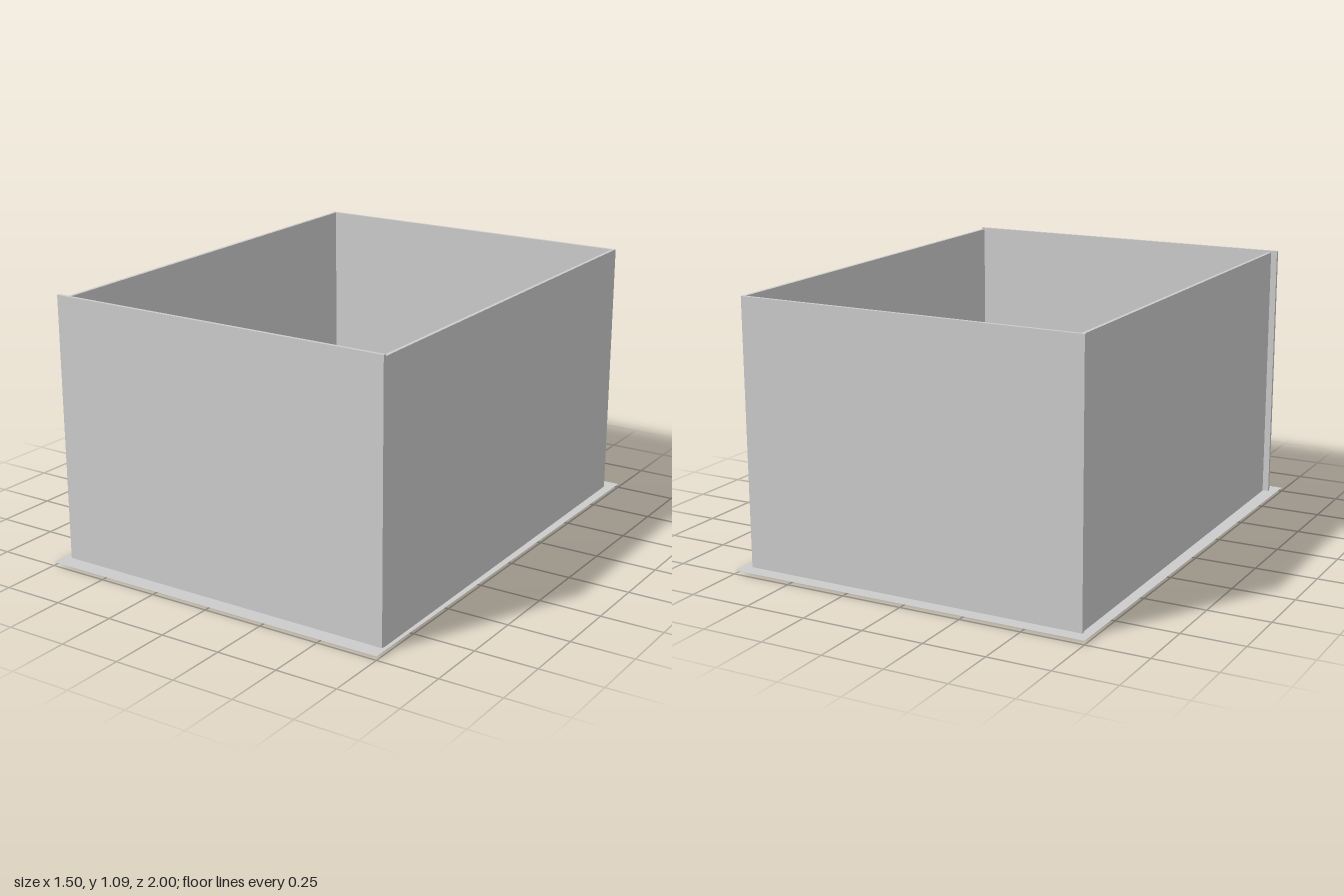
import * as THREE from 'three';

const T = 0.014; // panel thickness

export function createModel() {
  const model = new THREE.Group();
  const grey = new THREE.MeshStandardMaterial({ color: 0xcccccc, flatShading: true });
  const sheet = new THREE.MeshStandardMaterial({ color: 0xcccccc, side: THREE.DoubleSide });
  const red = new THREE.MeshStandardMaterial({ color: 0xb05a50 });

  // Upright board whose centre line runs from (x1, z1) to (x2, z2)
  function panel(name, [x1, z1, x2, z2], y0, y1, t = T, material = grey) {
    const dx = x2 - x1, dz = z2 - z1;
    const mesh = new THREE.Mesh(new THREE.BoxGeometry(Math.hypot(dx, dz), y1 - y0, t), material);
    mesh.position.set((x1 + x2) / 2, (y0 + y1) / 2, (z1 + z2) / 2);
    mesh.rotation.y = -Math.atan2(dz, dx);
    mesh.name = name;
    model.add(mesh);
  }

  // Thin floor sheet
  const floor = new THREE.Mesh(new THREE.PlaneGeometry(1.5, 2), sheet);
  floor.rotation.x = -Math.PI / 2;
  floor.position.y = 0.015;
  floor.name = 'floor';
  model.add(floor);

  // Outer walls, slightly out of square
  panel('frontWall', [-0.715, 0.927, 0.735, 0.932], 0.017, 1.088);
  panel('backWall', [-0.715, -0.938, 0.708, -0.932], 0.013, 1.081);
  panel('leftWall', [0.703, -0.938, 0.728, 0.927], 0.012, 1.081);
  panel('rightWall', [-0.703, -0.932, -0.682, 0.921], 0.012, 1.081);

  // Long inner partitions that reach below the floor
  for (const x of [-0.609, 0.692]) panel('longPartition', [x, -0.68, x, 0.66], 0, 0.4);

  // Small boards along the sides
  for (const x of [-0.596, 0.607])
    for (const z of [-0.392, 0.068]) panel('sideBoard', [x, z, x, z + 0.288], 0.012, 0.285);

  // Small boards down the middle, each with a thin plate on its face
  for (const z of [-0.436, 0.022]) {
    panel('middleBoard', [0.017, z, 0.017, z + 0.288], 0.012, 0.285);
    panel('boardPlate', [0.028, z + 0.11, 0.028, z + 0.21], 0.1, 0.2, 0.004, red);
  }

  // Small boards near the front and back walls, turned a little
  for (const z of [-0.859, 0.831])
    for (const [x, shift] of [[-0.434, 0], [0.02, 0.025]])
      panel('endBoard', [x, z + shift, x + 0.288, z + shift + 0.015], 0.012, 0.285);

  return model;
}
